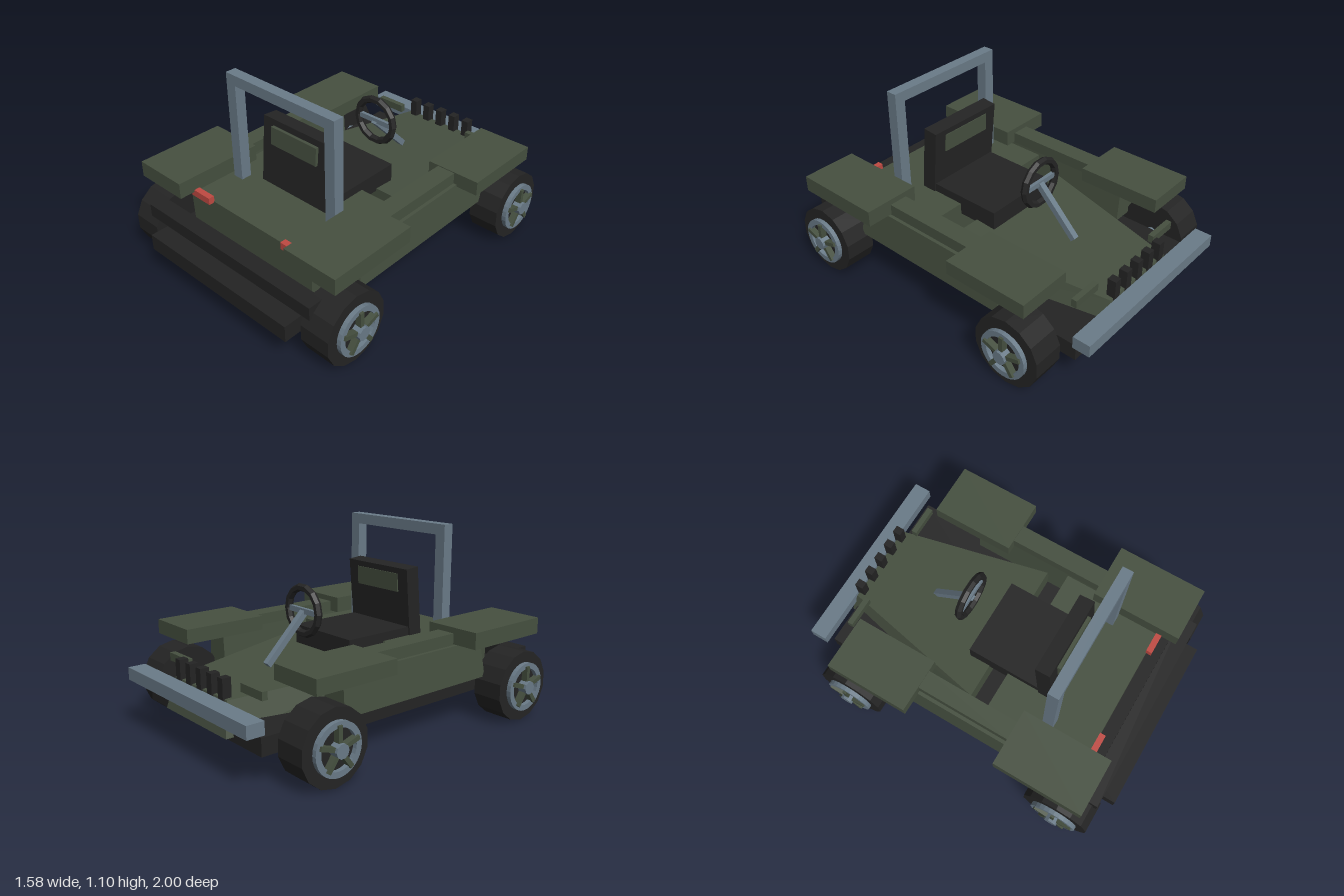
import * as THREE from 'three';

const mat = (name, color) => {
  const m = new THREE.MeshStandardMaterial({ color, flatShading: true });
  m.name = name;
  return m;
};

export function createModel() {
  const green = mat('olive green', 0x465040);
  const black = mat('black', 0x242424);
  const grey = mat('steel grey', 0x6a7b88);
  const red = mat('lamp red', 0xc04a42);
  const model = new THREE.Group();
  model.name = 'buggy';

  const add = (name, geo, material, parent = model) => {
    const mesh = new THREE.Mesh(geo, material);
    mesh.name = name;
    parent.add(mesh);
    return mesh;
  };
  // Box given by its limits on each axis
  const box = (name, material, [x0, x1], [y0, y1], [z0, z1]) => {
    const mesh = add(name, new THREE.BoxGeometry(x1 - x0, y1 - y0, z1 - z0), material);
    mesh.position.set((x0 + x1) / 2, (y0 + y1) / 2, (z0 + z1) / 2);
    return mesh;
  };
  // Same box on both sides
  const pair = (name, material, [x0, x1], y, z) => {
    box(name + 'Left', material, [x0, x1], y, z);
    box(name + 'Right', material, [-x1, -x0], y, z);
  };
  // Box whose corners are placed by a rule
  const shaped = (name, material, rule) => {
    const geo = new THREE.BoxGeometry(2, 2, 2).toNonIndexed();
    const p = geo.attributes.position;
    for (let i = 0; i < p.count; i++) {
      p.setXYZ(i, ...rule(p.getX(i), p.getY(i) > 0, p.getZ(i) > 0));
    }
    geo.computeVertexNormals();
    return add(name, geo, material);
  };

  // Chassis and rear bumper
  box('chassis', black, [-0.52, 0.52], [0.16, 0.255], [-0.89, 1]);
  box('rearBumper', black, [-0.61, 0.61], [0.3, 0.376], [0.83, 0.925]);

  // Tapered hood with a sloping nose
  shaped('hood', green, (sx, top, back) => back
    ? [sx * (top ? 0.435 : 0.47), top ? 0.415 : 0.25, 0.02]
    : [sx * (top ? 0.245 : 0.285), top ? 0.36 : 0.185, top ? -0.89 : -0.93]);

  // Rear body and side panels
  shaped('rearBody', green, (sx, top, back) =>
    [sx * (top ? 0.46 : 0.45), top ? 0.466 : 0.25, back ? 0.75 : 0.14]);
  for (const s of [-1, 1]) {
    shaped(s > 0 ? 'sidePanelLeft' : 'sidePanelRight', green, (sx, top, back) => [
      s * 0.525 + sx * (top ? 0.065 : 0.08),
      top ? 0.48 : 0.265,
      back ? (top ? 0.535 : 0.57) : -0.46,
    ]);
  }
  pair('sideRail', green, [0.46, 0.57], [0.47, 0.545], [-0.24, 0.35]);

  // Fenders
  pair('rearFender', green, [0.393, 0.724], [0.485, 0.577], [0.338, 0.87]);
  pair('frontFender', green, [0.4, 0.72], [0.468, 0.55], [-0.725, -0.228]);

  // Nose details
  box('frontBumper', grey, [-0.565, 0.565], [0.285, 0.355], [-1, -0.9]);
  for (let i = -2; i <= 2; i++) {
    box('grilleBlock', black, [i * 0.1 - 0.022, i * 0.1 + 0.022], [0.34, 0.465], [-0.9, -0.85]);
  }
  pair('noseBar', green, [0.25, 0.43], [0.39, 0.435], [-0.817, -0.785]);

  // Tail lamps
  pair('tailLamp', red, [0.272, 0.416], [0.457, 0.497], [0.745, 0.78]);

  // Seat
  box('seatCushion', black, [-0.232, 0.232], [0.4, 0.515], [-0.108, 0.36]);
  const back = box('seatBack', black, [-0.24, 0.24], [0.45, 0.853], [0.323, 0.411]);
  back.rotation.x = -0.09;
  const rest = box('seatBackPad', green, [-0.165, 0.165], [0.713, 0.818], [0.306, 0.418]);
  rest.rotation.x = -0.05;

  // Roll bar
  pair('rollBarPost', grey, [0.318, 0.383], [0.45, 1.04], [0.447, 0.51]);
  box('rollBarTop', grey, [-0.383, 0.383], [1.04, 1.1], [0.447, 0.51]);

  // Steering wheel, spoke and column
  add('steeringWheel', new THREE.TorusGeometry(0.129, 0.022, 6, 14), black)
    .position.set(0, 0.655, -0.235);
  box('steeringSpoke', grey, [-0.12, 0.12], [0.64, 0.67], [-0.245, -0.225]);
  const column = add('steeringColumn', new THREE.BoxGeometry(0.035, 0.035, 0.36), grey);
  column.position.set(0, 0.525, -0.355);
  column.rotation.x = -Math.PI / 4;

  // Wheels, built along +x and turned round for the right side
  const drum = (r, x0, x1, sides) =>
    new THREE.CylinderGeometry(r, r, x1 - x0, sides)
      .rotateZ(-Math.PI / 2).translate((x0 + x1) / 2, 0, 0);
  const ringShape = new THREE.Shape().absarc(0, 0, 0.138, 0, Math.PI * 2);
  ringShape.holes.push(new THREE.Path().absarc(0, 0, 0.106, 0, Math.PI * 2, true));
  const ring = new THREE.ExtrudeGeometry(ringShape, { depth: 0.025, bevelEnabled: false, curveSegments: 14 })
    .rotateY(Math.PI / 2).translate(0.738, 0, 0);
  for (const z of [0.74, -0.63]) {
    for (const s of [1, -1]) {
      const wheel = new THREE.Group();
      wheel.name = (z > 0 ? 'rear' : 'front') + 'Wheel' + (s > 0 ? 'Left' : 'Right');
      wheel.position.set(0, 0.205, z);
      if (s < 0) wheel.rotation.y = Math.PI;
      add('tire', drum(0.201, 0.56, 0.738, 14).rotateX(Math.PI / 2), black, wheel);
      add('rim', ring, grey, wheel);
      add('hub', drum(0.038, 0.735, 0.79, 10), grey, wheel);
      add('axle', drum(0.03, 0.46, 0.57, 8), grey, wheel);
      for (let i = 0; i < 5; i++) {
        const spoke = new THREE.BoxGeometry(0.035, 0.1, 0.024)
          .translate(0.758, 0.07, 0).rotateX((i * Math.PI * 2) / 5);
        add('spoke', spoke, green, wheel);
      }
      model.add(wheel);
    }
  }
  return model;
}
